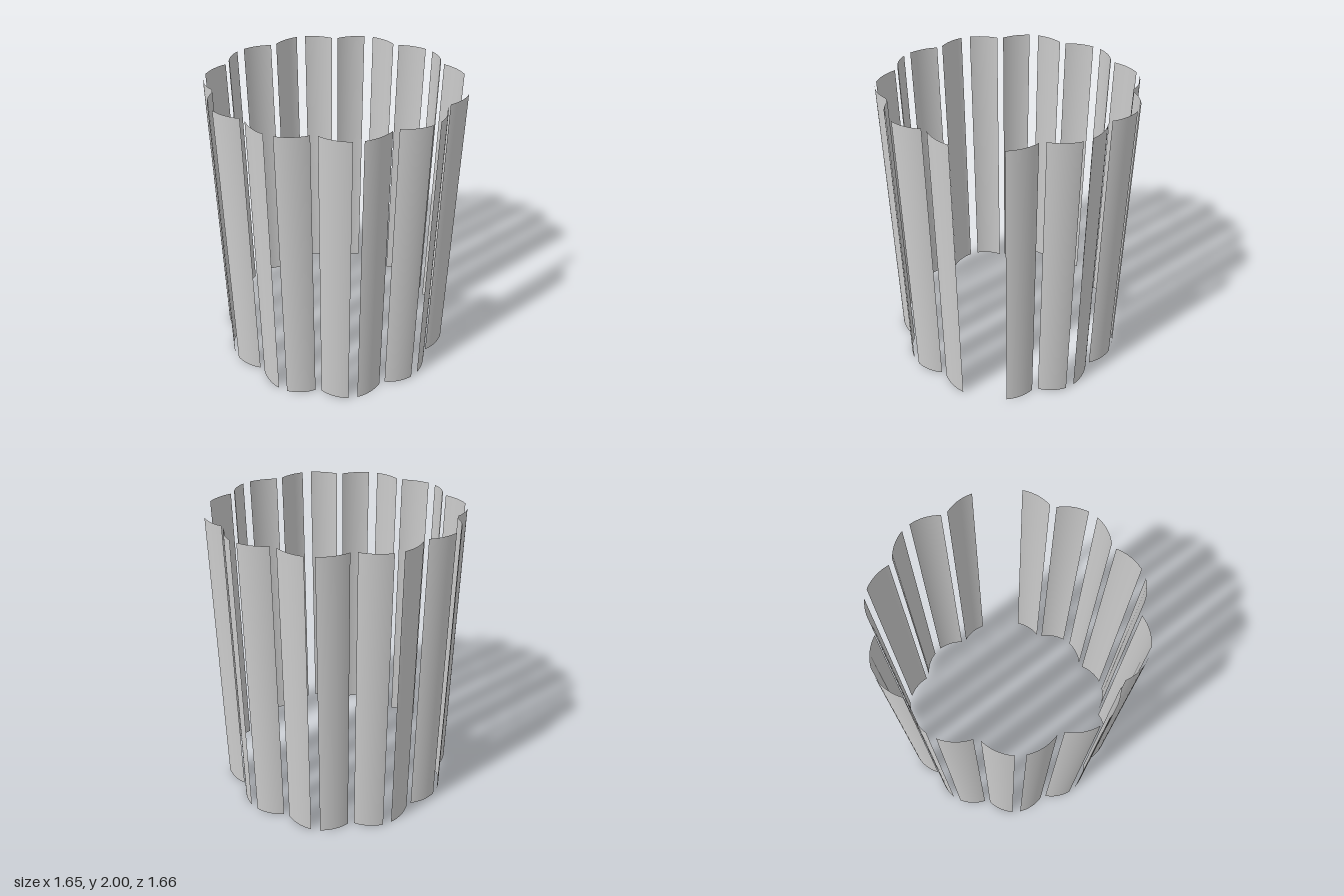
import * as THREE from 'three';

export function createModel() {
  const model = new THREE.Group();
  model.name = 'slatRing';
  const material = new THREE.MeshStandardMaterial({ color: 0xcccccc, side: THREE.DoubleSide });

  const rad = THREE.MathUtils.degToRad;
  const slots = 21, ringRadius = 0.8, height = 2;
  const halfWidth = 0.1, halfArc = rad(20), tilt = rad(20);

  // One thin curved slat, bulging towards +z, its chord centred on the origin
  const curve = halfWidth / Math.sin(halfArc);
  const slat = new THREE.CylinderGeometry(curve, curve, height, 12, 1, true, -halfArc, 2 * halfArc);
  slat.translate(0, height / 2, -curve * Math.cos(halfArc));

  // Upright slats around the ring, turned alternately left and right; one slot stays open
  for (let i = 2; i <= slots; i++) {
    const angle = rad(9.8) + (i * 2 * Math.PI) / slots;
    const facing = angle + (i % 2 ? -tilt : tilt);
    const mesh = new THREE.Mesh(slat, material);
    mesh.name = `slat${i - 1}`;
    mesh.position.set(ringRadius * Math.cos(angle) + 0.008, 0, ringRadius * Math.sin(angle) + 0.008);
    mesh.rotation.y = Math.PI / 2 - facing;
    model.add(mesh);
  }
  return model;
}
